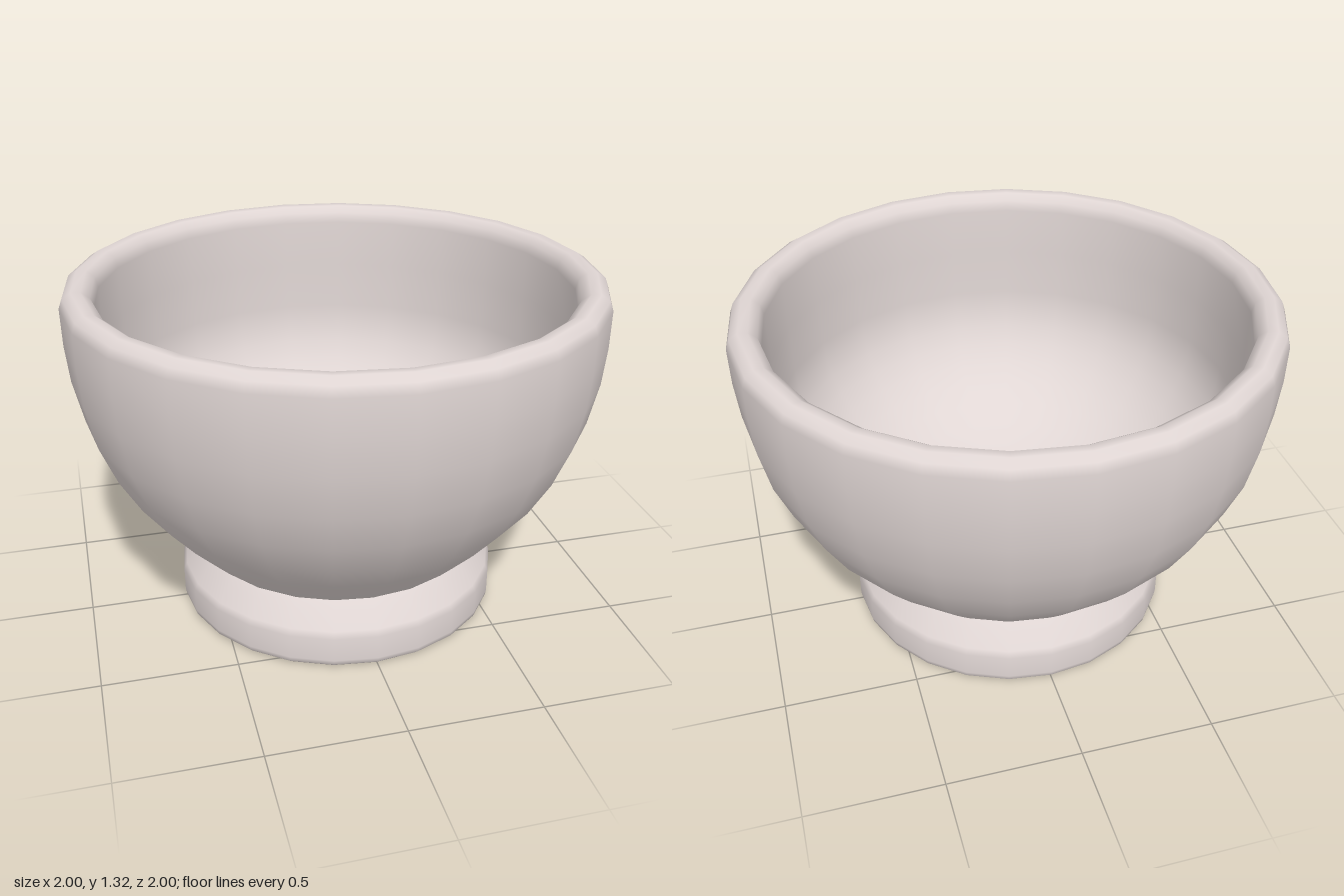
import * as THREE from 'three';

const SEGMENTS = 24;

// Revolves [radius, height] pairs around the y axis
function turned(name, profile, material) {
  const points = profile.map(([r, y]) => new THREE.Vector2(r, y));
  const mesh = new THREE.Mesh(new THREE.LatheGeometry(points, SEGMENTS), material);
  mesh.name = name;
  return mesh;
}

// Quarter ellipse from the inner wall down to the centre of the floor
function hollow(radius, top, depth, steps) {
  const profile = [];
  for (let i = 0; i <= steps; i++) {
    const a = (i / steps) * Math.PI / 2;
    profile.push([i === steps ? 0 : radius * Math.cos(a), top - depth * Math.sin(a)]);
  }
  return profile;
}

export function createModel() {
  const group = new THREE.Group();
  group.name = 'footedBowl';
  const ceramic = new THREE.MeshStandardMaterial({ color: 0xe0d6d4 });
  ceramic.name = 'warm grey ceramic';

  // Solid foot with a softened lower edge and a sloped shoulder
  group.add(turned('foot', [
    [0, 0], [0.612, 0], [0.625, 0.012], [0.628, 0.03], [0.628, 0.125],
    [0.615, 0.15], [0.57, 0.21], [0.557, 0.228], [0.545, 0.242],
  ], ceramic));

  // Outer wall, rounded rim and hollow interior in one sweep
  group.add(turned('bowl', [
    [0.545, 0.242], [0.562, 0.255], [0.62, 0.315], [0.71, 0.41], [0.81, 0.53],
    [0.89, 0.67], [0.95, 0.82], [0.985, 0.98], [0.998, 1.12], [1, 1.26],
    [0.987, 1.295], [0.955, 1.315], [0.92, 1.313], [0.89, 1.29],
    [0.88, 1.25], [0.876, 1.06],
    ...hollow(0.872, 0.87, 0.6, 12),
  ], ceramic));

  return group;
}
